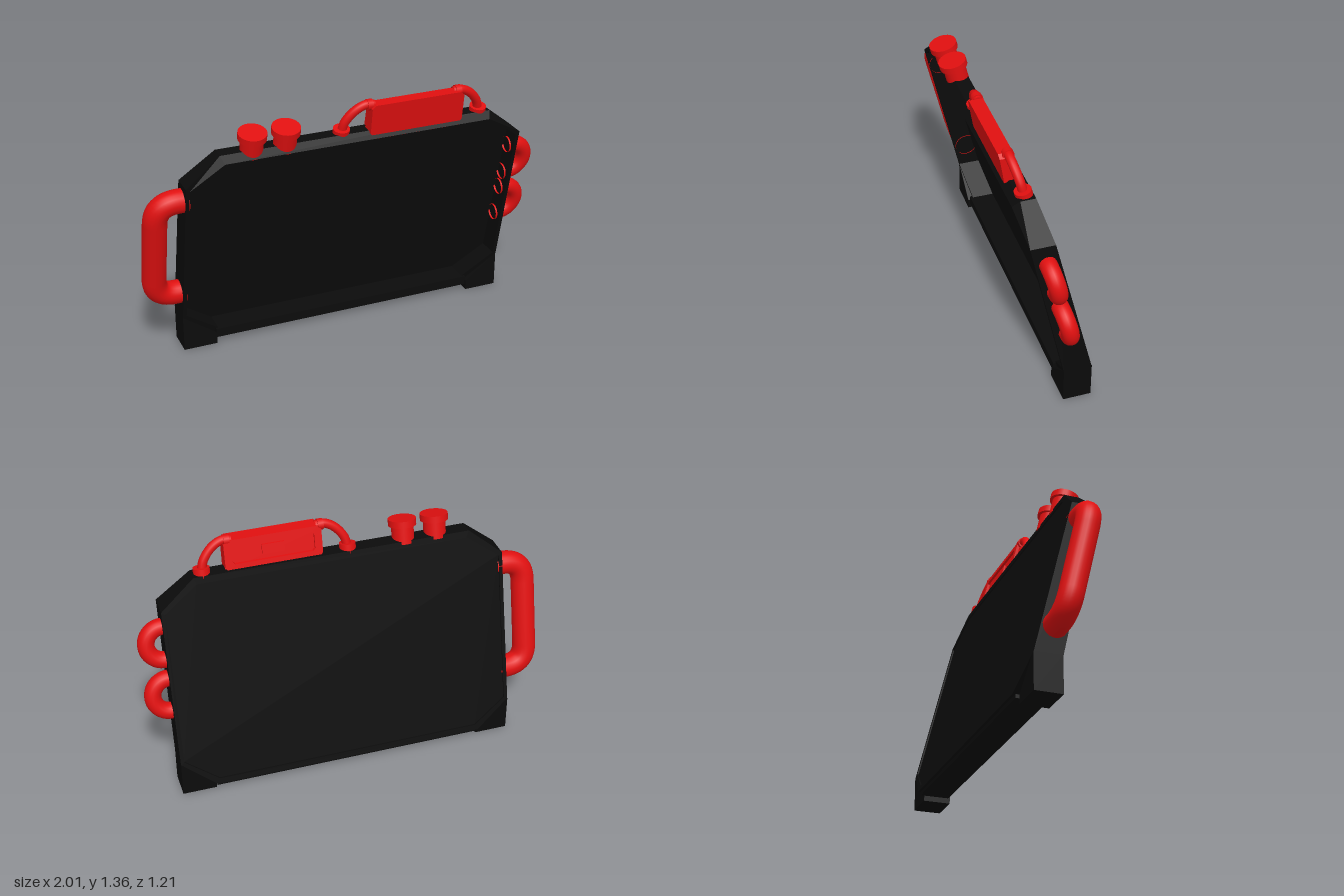
import * as THREE from 'three';

const black = new THREE.MeshStandardMaterial({ color: 0x0b0b0b });
const red = new THREE.MeshStandardMaterial({ color: 0xe01010 });
const redOpen = new THREE.MeshStandardMaterial({ color: 0xe01010, side: THREE.DoubleSide });

// Depth of the leaning casing's faces at height y
const backAt = y => -0.18 + 0.25 * (y - 0.19);
const frontAt = y => (y > 1.18 ? 0.15 : -0.03 + 0.225 * (y - 0.19));
const midAt = y => (backAt(y) + frontAt(y)) / 2;

// Rectangle with cut corners: cx by cyb at the bottom, cx by cyt at the top
function octagon(x0, x1, y0, y1, cx, cyb, cyt = cyb) {
  return [[x0 + cx, y0], [x1 - cx, y0], [x1, y0 + cyb], [x1, y1 - cyt],
    [x1 - cx, y1], [x0 + cx, y1], [x0, y1 - cyt], [x0, y0 + cyb]];
}

const toPoints = list => list.map(p => new THREE.Vector2(...p));

export function createModel() {
  const root = new THREE.Group();
  const model = new THREE.Group();
  model.rotation.y = 0.485;
  model.position.set(0.027, 0, -0.014);
  root.add(model);

  const add = (name, geometry, material) => {
    const mesh = new THREE.Mesh(geometry, material);
    mesh.name = name;
    model.add(mesh);
    return mesh;
  };

  // Outline extruded between two depths that vary with height
  const slab = (name, outline, back, front, material, hole) => {
    const shape = new THREE.Shape(toPoints(outline));
    if (hole) shape.holes.push(new THREE.Path(toPoints(hole)));
    const g = new THREE.ExtrudeGeometry(shape, { depth: 1, bevelEnabled: false });
    const p = g.attributes.position;
    for (let i = 0; i < p.count; i++) {
      const y = p.getY(i);
      p.setZ(i, THREE.MathUtils.lerp(back(y), front(y), p.getZ(i)));
    }
    g.computeVertexNormals();
    return add(name, g, material);
  };

  // Round pipe through a path of straight runs with rounded corners
  const pipe = (name, pts, radius, round) => {
    const v = pts.map(p => new THREE.Vector3(...p));
    const path = new THREE.CurvePath();
    let from = v[0];
    for (let i = 1; i < v.length - 1; i++) {
      const a = v[i].clone().add(v[i - 1].clone().sub(v[i]).setLength(round));
      const b = v[i].clone().add(v[i + 1].clone().sub(v[i]).setLength(round));
      path.add(new THREE.LineCurve3(from, a));
      path.add(new THREE.QuadraticBezierCurve3(a, v[i], b));
      from = b;
    }
    path.add(new THREE.LineCurve3(from, v[v.length - 1]));
    add(name, new THREE.TubeGeometry(path, 64, radius, 20), redOpen);
  };

  // Casing: open frame with a panel set deep in it
  const outer = octagon(-0.935, 0.935, 0.05, 1.19, 0.185, 0.15);
  const inner = octagon(-0.915, 0.915, 0.08, 1.155, 0.18, 0.13);
  slab('casingFrame', outer, backAt, frontAt, black, inner);
  slab('casingPanel', inner, y => backAt(y) + 0.008, y => backAt(y) + 0.03, black);

  // Upright feet and the sill between them
  for (const s of [-1, 1]) {
    const foot = [[0.75, 0], [0.935, 0], [0.935, 0.2], [0.75, 0.055]].map(([x, y]) => [s * x, y]);
    slab(s > 0 ? 'leftFoot' : 'rightFoot', foot, () => -0.18, () => -0.03, black);
  }
  slab('sill', [[-0.75, 0.03], [0.75, 0.03], [0.75, 0.08], [-0.75, 0.08]],
    y => -0.2, () => -0.04, black);

  // Large pipe handle on the right side
  const at = (x, y) => [x, y, midAt(y)];
  pipe('sidePipe', [at(-0.91, 0.945), at(-1.075, 0.945), at(-1.075, 0.345), at(-0.91, 0.345)], 0.064, 0.12);

  // Two small pipe loops on the left side
  for (const y of [0.842, 0.558]) {
    const pts = [new THREE.Vector3(...at(0.905, y + 0.09))];
    for (let i = 0; i <= 12; i++) {
      const a = Math.PI * (0.5 - i / 12);
      pts.push(new THREE.Vector3(...at(0.935 + 0.09 * Math.cos(a), y + 0.09 * Math.sin(a))));
    }
    pts.push(new THREE.Vector3(...at(0.905, y - 0.09)));
    add('pipeLoop', new THREE.TubeGeometry(new THREE.CatmullRomCurve3(pts), 40, 0.045, 18), redOpen);
  }

  // Two capped fillers, leaning with the casing
  const lean = 0.24;
  const peg = (name, x, y, z, r, h) => {
    const m = add(name, new THREE.CylinderGeometry(r, r, h, 28), red);
    m.position.set(x, y, z);
    m.rotation.x = lean;
  };
  for (const x of [-0.576, -0.397]) {
    peg('fillerNeck', x, 1.21, 0.13, 0.06, 0.1);
    peg('fillerCap', x, 1.27, 0.145, 0.075, 0.036);
  }

  // Control box on top, with a framed back and a small plate
  const boxBack = y => 0.09 + 0.25 * (y - 1.15);
  const boxFront = y => 0.168 + 0.16 * (y - 1.15);
  slab('controlBox', octagon(0.055, 0.575, 1.16, 1.342, 0.02, 0.02), boxBack, boxFront, red);
  slab('controlBoxBase', [[0.075, 1.145], [0.555, 1.145], [0.555, 1.162], [0.075, 1.162]],
    boxBack, boxFront, red);
  slab('controlBoxBackFrame', octagon(0.055, 0.575, 1.18, 1.342, 0.02, 0.02),
    y => boxBack(y) - 0.014, boxBack, red, octagon(0.095, 0.535, 1.215, 1.315, 0.012, 0.012));
  slab('controlBoxPlate', [[0.255, 1.24], [0.375, 1.24], [0.375, 1.29], [0.255, 1.29]],
    y => boxBack(y) - 0.01, boxBack, red);

  // Hoses from sockets up to the box shoulders
  for (const s of [-1, 1]) {
    const x = d => 0.305 + s * d;
    peg('hoseSocket', x(0.391), 1.19, 0.115, 0.044, 0.05);
    const curve = new THREE.CatmullRomCurve3([
      [0.391, 1.19, 0.115], [0.375, 1.25, 0.128], [0.325, 1.31, 0.143],
      [0.27, 1.337, 0.15], [0.225, 1.333, 0.15],
    ].map(([d, y, z]) => new THREE.Vector3(x(d), y, z)));
    add('hose', new THREE.TubeGeometry(curve, 32, 0.024, 14), redOpen);
    const collar = add('hoseCollar', new THREE.CylinderGeometry(0.03, 0.03, 0.03, 18), red);
    collar.position.set(x(0.25), 1.334, 0.15);
    collar.rotation.z = Math.PI / 2;
  }

  return root;
}
